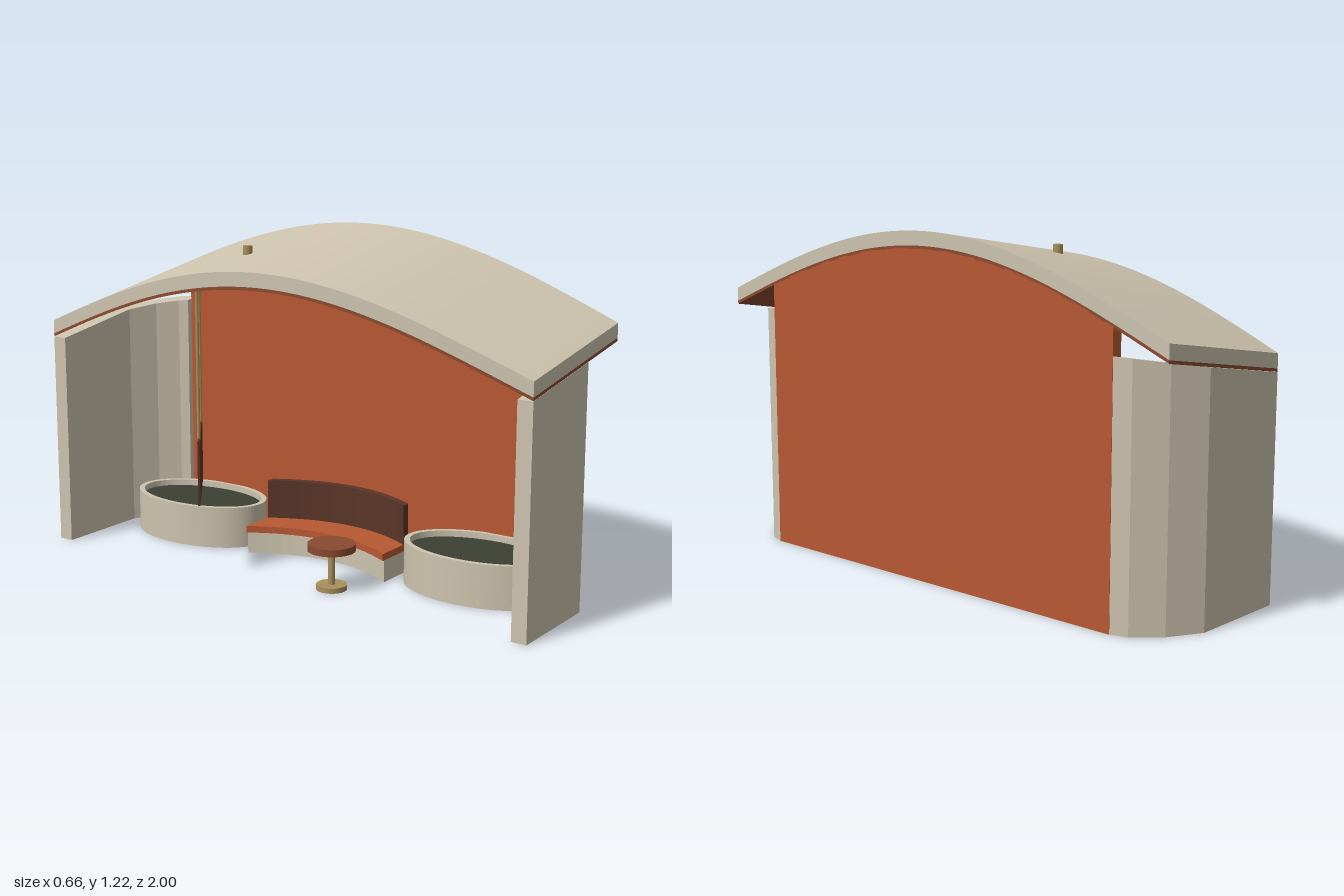
import * as THREE from 'three';

const paint = (name, color) => {
  const m = new THREE.MeshStandardMaterial({ color });
  m.name = name;
  return m;
};

// Height of the roof's upper surface: an arch along z, sloping up towards +x
const roofTop = (x, z) => 1.215 - 0.17 * (0.33 - x) - 0.27 * (1 - Math.cos(z * Math.PI / 2));
const roofEdge = (z) => -0.322 + 0.062 * z * z;

export function createModel() {
  const group = new THREE.Group();
  const cream = paint('cream', 0xcdc3ae);
  const orange = paint('burnt orange', 0xb85833);
  const rust = paint('rust brown', 0x8a4a30);
  const brown = paint('dark brown', 0x5a3528);
  const brass = paint('brass', 0xa8905a);
  const soil = paint('dark soil', 0x3c4033);

  const add = (name, geometry, material, x = 0, y = 0, z = 0) => {
    const mesh = new THREE.Mesh(geometry, material);
    mesh.name = name;
    mesh.position.set(x, y, z);
    group.add(mesh);
    return mesh;
  };

  // Upright slab from a plan outline of [x, z] points
  const slab = (points, y0, y1) => {
    const shape = new THREE.Shape(points.map(([x, z]) => new THREE.Vector2(x, -z)));
    return new THREE.ExtrudeGeometry(shape, { depth: y1 - y0, bevelEnabled: false })
      .rotateX(-Math.PI / 2).translate(0, y0, 0);
  };

  // Curved sheet that follows the roof, between two depths below its top
  const roofLayer = (upper, lower) => {
    const g = new THREE.BoxGeometry(1, 1, 2, 1, 1, 48);
    const p = g.attributes.position;
    for (let i = 0; i < p.count; i++) {
      const z = p.getZ(i);
      const x = p.getX(i) > 0 ? 0.33 : roofEdge(z);
      p.setXYZ(i, x, roofTop(x, z) - (p.getY(i) > 0 ? upper : lower), z);
    }
    g.computeVertexNormals();
    return g;
  };
  add('roof', roofLayer(0, 0.05), cream);
  add('soffit', roofLayer(0.05, 0.061), rust);

  // Back wall with an arched top
  const wall = new THREE.Shape();
  wall.moveTo(-0.79, 0);
  wall.lineTo(0.79, 0);
  for (let i = 0; i <= 32; i++) {
    const z = 0.79 - 1.58 * i / 32;
    wall.lineTo(z, roofTop(0.31, z) - 0.054);
  }
  const wallGeometry = new THREE.ExtrudeGeometry(wall, { depth: 0.04, bevelEnabled: false });
  add('backWall', wallGeometry.rotateY(Math.PI / 2), orange, 0.29);

  // Side walls with faceted rear corners and sloping tops
  const sidePlan = [[-0.26, 1], [0.115, 1], [0.23, 0.935], [0.31, 0.85], [0.329, 0.79],
    [0.27, 0.79], [0.255, 0.825], [0.195, 0.89], [0.1, 0.945], [-0.26, 0.945]];
  for (const side of [1, -1]) {
    const g = slab(sidePlan.map(([x, z]) => [x, z * side]), 0, 1);
    const p = g.attributes.position;
    for (let i = 0; i < p.count; i++) {
      p.setY(i, p.getY(i) * (0.883 + 0.17 * (p.getX(i) - 0.33)));
    }
    g.computeVertexNormals();
    add(side > 0 ? 'leftSideWall' : 'rightSideWall', g, cream);
  }

  // Oval planters: body, raised rim and soil
  const a = 0.176, b = 0.28;
  for (const side of [1, -1]) {
    const z = 0.61 * side;
    add('planterBody', new THREE.CylinderGeometry(1, 1, 0.125, 48).scale(a, 1, b), cream, 0.12, 0.0625, z);
    const rim = new THREE.Shape().absellipse(0, 0, a, b, 0, Math.PI * 2);
    rim.holes.push(new THREE.Path().absellipse(0, 0, a - 0.02, b - 0.02, 0, Math.PI * 2));
    const rimGeometry = new THREE.ExtrudeGeometry(rim, { depth: 0.03, bevelEnabled: false, curveSegments: 48 });
    add('planterRim', rimGeometry.rotateX(-Math.PI / 2), cream, 0.12, 0.125, z);
    add('planterSoil', new THREE.CylinderGeometry(1, 1, 0.008, 48).scale(a - 0.02, 1, b - 0.02), soil, 0.12, 0.129, z);
  }

  // Curved bench between the planters
  const benchPart = (front, back, y0, y1) => {
    const curve = (offset) => Array.from({ length: 17 }, (_, i) => {
      const t = i / 8 - 1;
      return [0.09 * (1 - t * t) + offset, 0.3 * t];
    });
    return slab([...curve(front), ...curve(back).reverse()], y0, y1);
  };
  add('benchBase', benchPart(0.005, 0.15, 0, 0.08), cream);
  add('benchSeat', benchPart(-0.005, 0.15, 0.08, 0.105), orange);
  add('benchBack', benchPart(0.13, 0.16, 0.105, 0.25), brown);

  // Small round table
  const tx = -0.16, tz = 0.19;
  add('tableBase', new THREE.CylinderGeometry(0.054, 0.054, 0.018, 32), brass, tx, 0.009, tz);
  add('tableStem', new THREE.CylinderGeometry(0.012, 0.012, 0.13, 16), brass, tx, 0.08, tz);
  add('tableTop', new THREE.CylinderGeometry(0.084, 0.084, 0.025, 32), rust, tx, 0.153, tz);

  // Blank board hung at an angle from two rods
  const from = new THREE.Vector2(-0.332, -0.255), to = new THREE.Vector2(-0.027, -0.49);
  const mid = from.clone().lerp(to, 0.5);
  const board = add('hangingBoard', new THREE.BoxGeometry(from.distanceTo(to), 0.23, 0.008), brown, mid.x, 0.38, mid.y);
  board.rotation.y = -Math.atan2(to.y - from.y, to.x - from.x);
  for (const t of [0.155, 0.845]) {
    const c = from.clone().lerp(to, t);
    const top = roofTop(c.x, c.y) - 0.055;
    add('hangingRod', new THREE.CylinderGeometry(0.006, 0.006, top - 0.49, 12), brass, c.x, (top + 0.49) / 2, c.y);
  }

  // Little vent on the roof
  add('roofVent', new THREE.CylinderGeometry(0.017, 0.017, 0.05, 16), brass, -0.08, 1.133, -0.225);

  return group;
}
